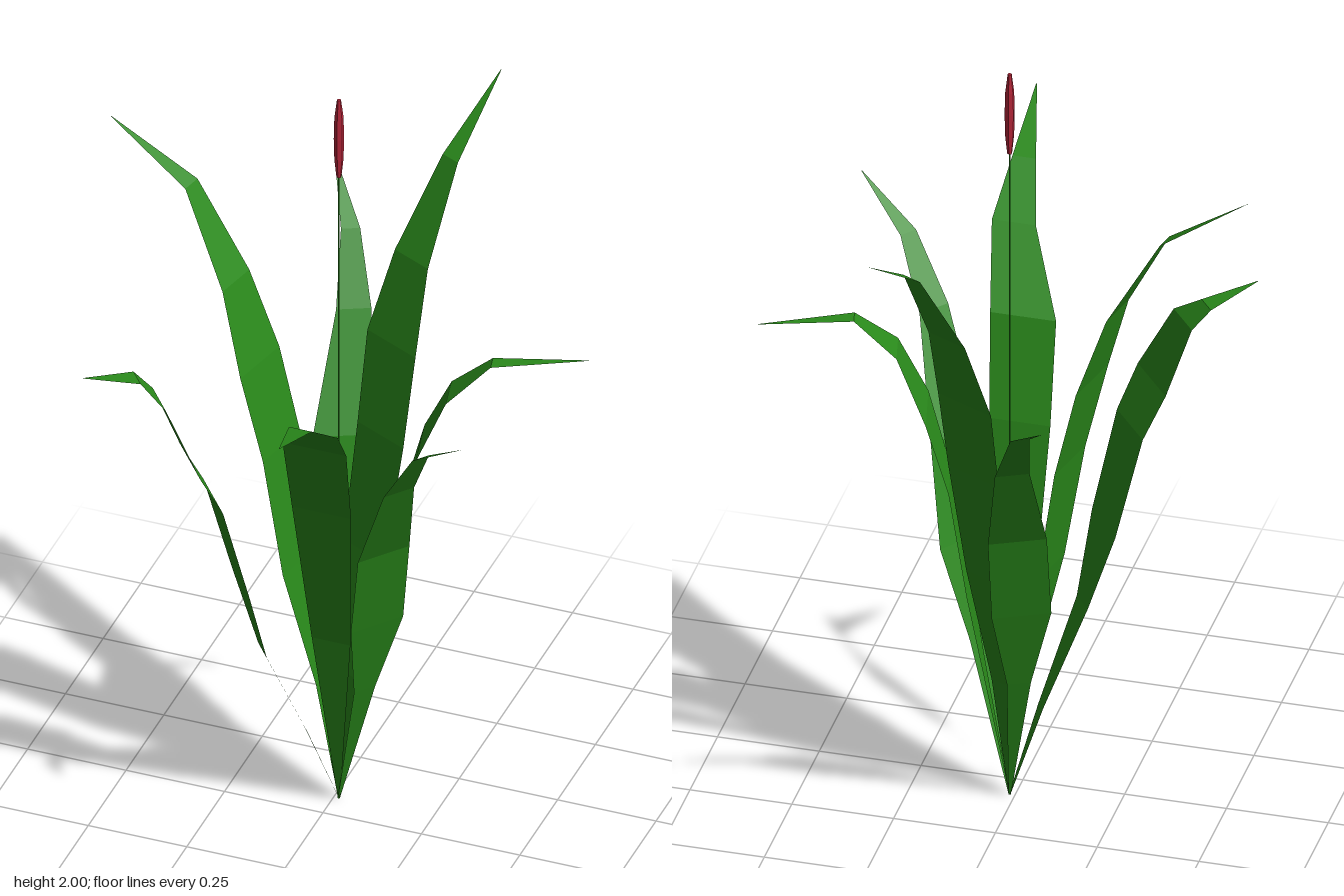
import * as THREE from 'three';

const BASE = new THREE.Vector3(0.013, 0, -0.072);
const GREEN = new THREE.MeshStandardMaterial({ color: 0x2a8a1b, flatShading: true, side: THREE.DoubleSide });
const RED = new THREE.MeshStandardMaterial({ color: 0xb8263a, flatShading: true });

// Blade shapes: each station is [reach, height, sideways drift, half width]
const SHAPES = {
  tall: [
    [0, 0, 0, 0.003], [0.04, 0.33, -0.008, 0.03], [0.1, 0.65, -0.02, 0.07], [0.152, 0.96, -0.018, 0.079],
    [0.203, 1.19, -0.034, 0.083], [0.27, 1.4, -0.036, 0.057], [0.397, 1.63, -0.036, 0.026], [0.6, 1.77, -0.076, 0.001]],
  spreading: [
    [0, 0, 0, 0.003], [0.12, 0.38, 0, 0.029], [0.19, 0.61, 0.007, 0.072], [0.26, 0.86, 0.03, 0.071],
    [0.396, 1.13, 0.068, 0.042], [0.5, 1.29, 0.069, 0.023], [0.654, 1.395, 0.045, 0.001]],
  drooping: [
    [0, 0, 0, 0.003], [0.06, 0.34, 0.012, 0.038], [0.1, 0.58, 0.015, 0.073], [0.144, 0.85, 0.033, 0.067],
    [0.197, 1.05, 0.027, 0.083], [0.268, 1.21, 0.035, 0.049], [0.37, 1.3, 0.027, 0.021], [0.597, 1.3, -0.015, 0.001]],
  bent: [
    [0, 0, 0, 0.003], [0.085, 0.22, -0.01, 0.014], [0.196, 0.475, -0.019, 0.033], [0.25, 0.68, -0.017, 0.07],
    [0.318, 0.94, -0.017, 0.077], [0.375, 1.05, -0.018, 0.083], [0.441, 1.22, 0.015, 0.054],
    [0.486, 1.27, 0.051, 0.028], [0.622, 1.3, 0.046, 0.001]],
  arching: [
    [0, 0, 0, 0.003], [0.078, 0.5, -0.01, 0.049], [0.17, 0.93, -0.021, 0.075], [0.256, 1.17, -0.036, 0.081],
    [0.412, 1.33, -0.101, 0.054], [0.547, 1.43, -0.112, 0.029], [0.752, 1.51, -0.137, 0.001]],
};

// Flat ribbon blade, leaning out along the given angle (from +x towards +z)
function makeLeaf(stations, angle) {
  const c = Math.cos(angle), s = Math.sin(angle);
  const positions = [], index = [];
  stations.forEach(([reach, y, drift, half], i) => {
    for (const v of [drift - half, drift + half]) {
      positions.push(c * reach - s * v, y, s * reach + c * v);
    }
    if (i > 0) {
      const a = 2 * i - 2;
      index.push(a, a + 2, a + 1, a + 1, a + 2, a + 3);
    }
  });
  const geometry = new THREE.BufferGeometry();
  geometry.setAttribute('position', new THREE.Float32BufferAttribute(positions, 3));
  geometry.setIndex(index);
  const flat = geometry.toNonIndexed();
  flat.computeVertexNormals();
  return new THREE.Mesh(flat, GREEN);
}

export function createModel() {
  const plant = new THREE.Group();
  plant.name = 'plant';

  // Seven leaves evenly spaced around the base, starting at the front
  const leaves = [
    ['frontLeaf', 'arching'],
    ['frontLeftLeaf', 'spreading'],
    ['leftLeaf', 'drooping'],
    ['backLeftLeaf', 'tall'],
    ['backRightLeaf', 'spreading'],
    ['rightLeaf', 'tall'],
    ['frontRightLeaf', 'bent'],
  ];
  leaves.forEach(([name, shape], i) => {
    const leaf = makeLeaf(SHAPES[shape], Math.PI / 2 - (i * Math.PI * 2) / leaves.length);
    leaf.name = name;
    plant.add(leaf);
  });

  // Thin flower stem
  const stem = new THREE.Mesh(new THREE.CylinderGeometry(0.002, 0.002, 1.79, 5), GREEN);
  stem.name = 'stem';
  stem.position.y = 0.895;
  plant.add(stem);

  // Spindle-shaped flower spike
  const profile = [[0, 1.78], [0.006, 1.78], [0.011, 1.83], [0.0125, 1.89], [0.011, 1.95], [0.005, 2], [0, 2]]
    .map(([r, y]) => new THREE.Vector2(r, y));
  const spike = new THREE.Mesh(new THREE.LatheGeometry(profile, 6), RED);
  spike.name = 'flowerSpike';
  plant.add(spike);

  plant.children.forEach((part) => part.position.add(BASE));
  return plant;
}
